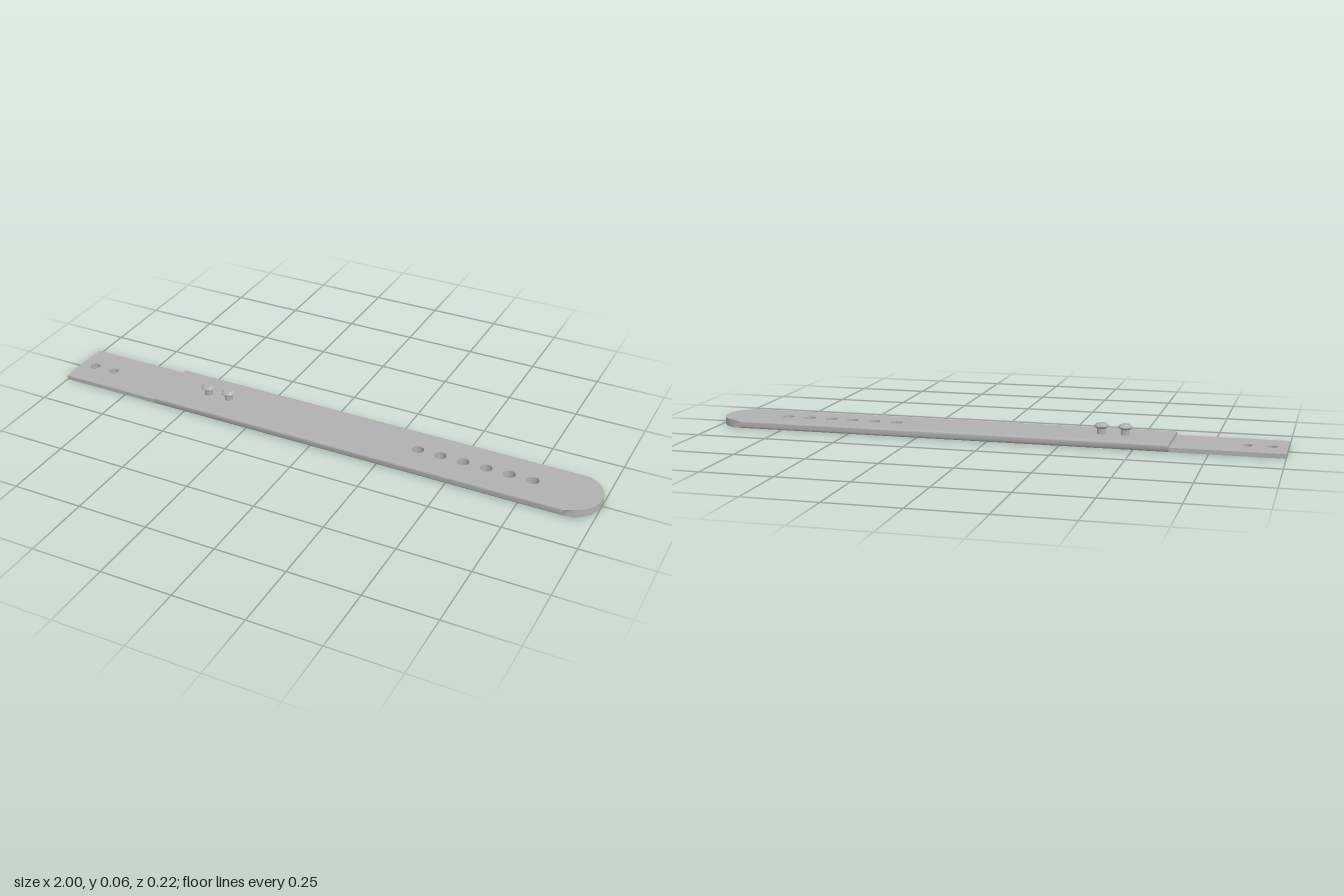
import * as THREE from 'three';
import { toCreasedNormals } from 'three/addons/utils/BufferGeometryUtils.js';

const HALF = 0.108, CORE = 0.1, THICK = 0.028, FILLET = HALF - CORE;
const STEP = -0.62, END = 1 - HALF; // step to the thin tab, centre of the round end
const arcX = z => END + Math.sqrt(Math.max(0, HALF * HALF - z * z));

// Flat plate: plan shape with round holes, extruded upwards
function plate(shape, holeXs, radius, height) {
  for (const x of holeXs) {
    shape.holes.push(new THREE.Path().absarc(x, 0, radius, 0, Math.PI * 2, true));
  }
  const g = new THREE.ExtrudeGeometry(shape, { depth: height, bevelEnabled: false, curveSegments: 32 });
  g.rotateX(-Math.PI / 2);
  return toCreasedNormals(g, 0.6);
}

// Filleted long edge, cut off at the far end by the round outline
function rail(side) {
  const s = new THREE.Shape();
  s.moveTo(CORE, 0);
  s.absarc(CORE, FILLET, FILLET, -Math.PI / 2, 0, false);
  s.absarc(CORE, THICK - FILLET, FILLET, 0, Math.PI / 2, false);
  s.closePath();
  if (side > 0) s.curves.forEach(c => c); // outline is shared by both sides
  const pts = s.getPoints(8).map(p => new THREE.Vector2(-side * p.x, p.y));
  const g = new THREE.ExtrudeGeometry(new THREE.Shape(pts), { depth: 1, bevelEnabled: false });
  g.rotateY(Math.PI / 2);
  const p = g.attributes.position;
  for (let i = 0; i < p.count; i++) {
    p.setX(i, p.getX(i) > 0.5 ? arcX(p.getZ(i)) : STEP);
  }
  return toCreasedNormals(g, 0.6);
}

export function createModel() {
  const group = new THREE.Group();
  const grey = new THREE.MeshStandardMaterial({ color: 0xb0b0b0 });
  grey.name = 'grey';
  const add = (geometry, name) => {
    const mesh = new THREE.Mesh(geometry, grey);
    mesh.name = name;
    group.add(mesh);
    return mesh;
  };

  // Main strap with its round end and row of adjustment holes
  const a = Math.asin(CORE / HALF);
  const body = new THREE.Shape();
  body.moveTo(STEP, -CORE);
  body.lineTo(arcX(CORE), -CORE);
  body.absarc(END, 0, HALF, -a, a, false);
  body.lineTo(STEP, CORE);
  body.closePath();
  const holes = Array.from({ length: 6 }, (_, i) => 0.357 + i * 0.0816);
  add(plate(body, holes, 0.021, THICK), 'strap');
  add(rail(1), 'frontEdge');
  add(rail(-1), 'backEdge');

  // Thin tab with two holes
  const w = 0.104;
  const tab = new THREE.Shape([
    new THREE.Vector2(-1, -w), new THREE.Vector2(STEP, -w),
    new THREE.Vector2(STEP, w), new THREE.Vector2(-1, w),
  ]);
  add(plate(tab, [-0.948, -0.866], 0.018, 0.015), 'tab');

  // Studs: straight stem under a double-bevelled head
  const profile = [[0.0145, 0.02], [0.0145, 0.047], [0.016, 0.047], [0.025, 0.054],
    [0.025, 0.057], [0.016, 0.065], [0, 0.065]].map(([r, y]) => new THREE.Vector2(r, y));
  const studGeometry = toCreasedNormals(new THREE.LatheGeometry(profile, 32), 0.5);
  for (const x of [-0.458, -0.376]) add(studGeometry, 'stud').position.x = x;

  return group;
}
